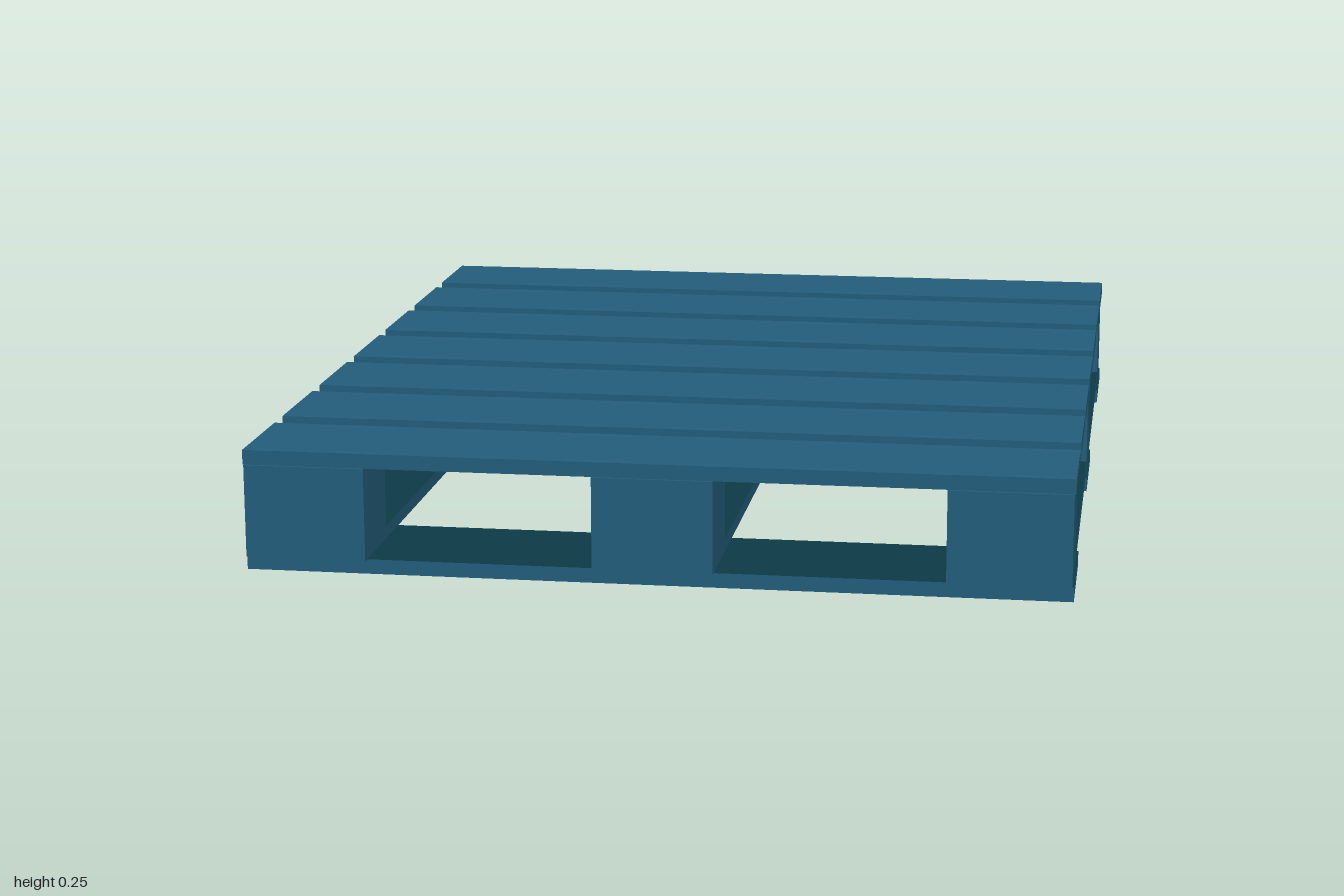
import * as THREE from 'three';

export function createModel() {
  const model = new THREE.Group();
  model.name = 'pallet';

  const mat = (name, color) => {
    const m = new THREE.MeshStandardMaterial({ color });
    m.name = name;
    return m;
  };
  const blue = mat('blue paint', 0x235d7a);
  const teal = mat('dark teal paint', 0x0d3a46);
  const wood = mat('bare wood', 0x987058);

  // Box from its limits; top and bottom faces may take their own colour
  const board = (name, [x0, x1], [y0, y1], [z0, z1], top = blue, bottom = blue) => {
    const geo = new THREE.BoxGeometry(x1 - x0, y1 - y0, z1 - z0);
    const mesh = new THREE.Mesh(geo, [blue, blue, top, bottom, blue, blue]);
    mesh.position.set((x0 + x1) / 2, (y0 + y1) / 2, (z0 + z1) / 2);
    mesh.name = name;
    model.add(mesh);
  };

  const fullWidth = [-0.829, 0.829];

  // Seven deck slats across the top
  for (let i = -3; i <= 3; i++) {
    const z = i * 0.2933 - 0.002;
    board('deckSlat', fullWidth, [0.22, 0.25], [z - 0.117, z + 0.117]);
  }

  // Three rows of runners with blocks between them
  const rows = [[-0.826, -0.581], [-0.121, 0.121], [0.581, 0.826]];
  const blockSpans = [[-1, -0.826], [-0.085, 0.085], [0.826, 1]];
  for (const x of rows) {
    board('upperRunner', x, [0.193, 0.22], [-1, 1]);
    board('lowerRunner', x, [0.03, 0.056], [-1, 1], teal);
    for (const z of blockSpans) board('block', x, [0.056, 0.193], z);
  }

  // Three base boards, unpainted underneath
  for (const z of [[-0.993, -0.733], [-0.132, 0.132], [0.724, 0.984]]) {
    board('baseBoard', fullWidth, [0, 0.03], z, teal, wood);
  }

  return model;
}
